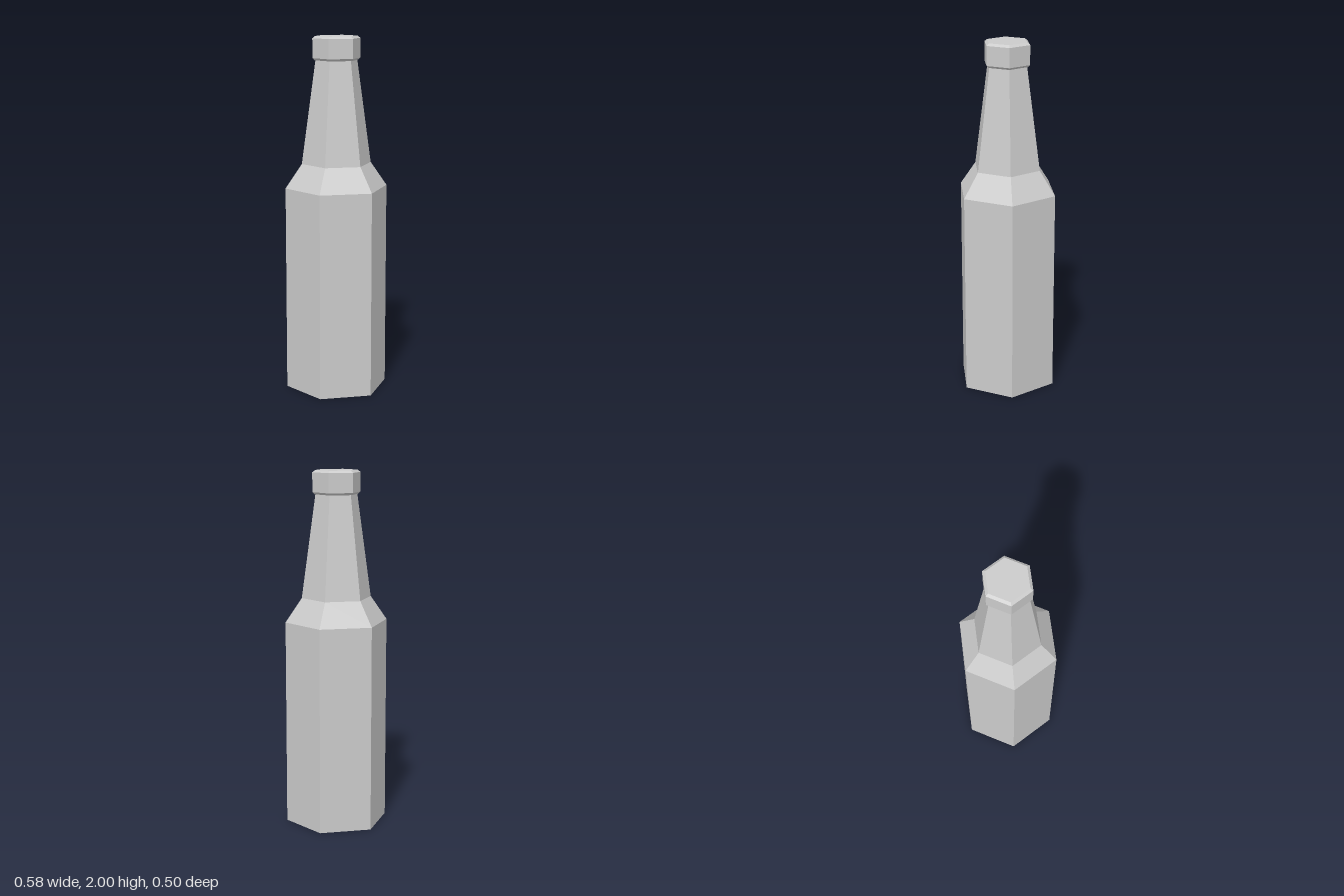
import * as THREE from 'three';

const SIDES = 6;

// Hexagonal turned part with corners on the x axis; profile is [radius, height] from bottom to top
function turned(name, profile, material) {
  const points = profile.map(([r, y]) => new THREE.Vector2(r, y));
  const geometry = new THREE.LatheGeometry(points, SIDES, Math.PI / 2);
  const mesh = new THREE.Mesh(geometry, material);
  mesh.name = name;
  return mesh;
}

export function createModel() {
  const group = new THREE.Group();
  group.name = 'bottle';
  const material = new THREE.MeshStandardMaterial({ color: 0xcccccc, flatShading: true });

  // Closed base, straight body, sloped shoulder and tapering neck
  group.add(turned('bottleBody', [
    [0, 0], [0.29, 0], [0.29, 1.16], [0.197, 1.295], [0.117, 1.875],
  ], material));

  // Cap with a small chamfer at both rims
  group.add(turned('cap', [
    [0, 1.868], [0.122, 1.868], [0.135, 1.88], [0.135, 1.988], [0.119, 2], [0, 2],
  ], material));

  return group;
}
